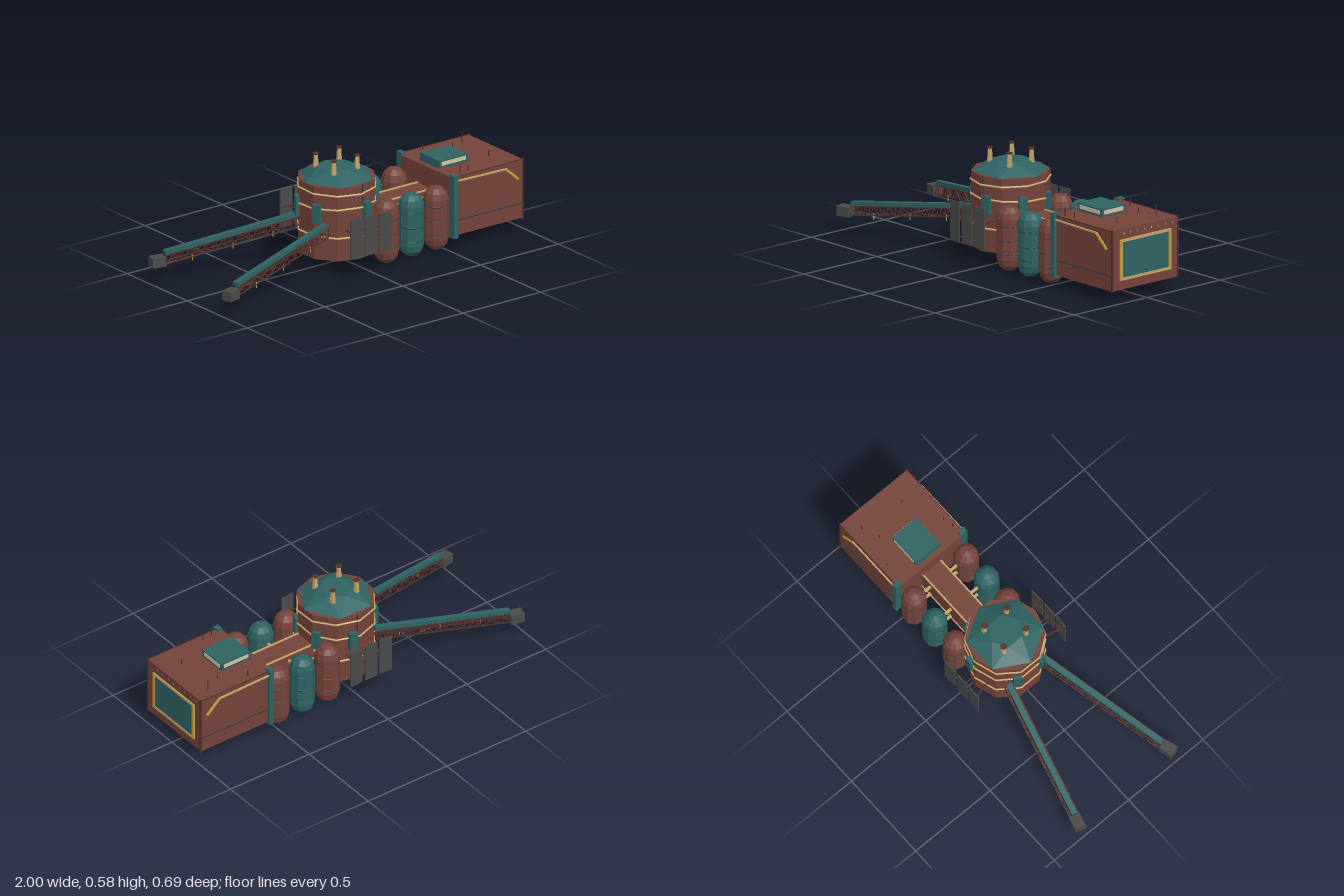
import * as THREE from 'three';

const paint = (name, color) => {
  const m = new THREE.MeshStandardMaterial({ color, flatShading: true });
  m.name = name;
  return m;
};

export function createModel() {
  const rust = paint('rust hull', 0x74433a);
  const teal = paint('teal paint', 0x2e6363);
  const darkTeal = paint('dark teal trim', 0x1d4040);
  const cream = paint('tan trim', 0xc6a466);
  const pale = paint('pale window', 0xd6c2a2);
  const yellow = paint('yellow marking', 0xc8a23e);
  const grey = paint('dark grey panel', 0x4a4a4a);
  const truss = paint('dark rust truss', 0x55302a);

  const model = new THREE.Group();
  model.name = 'station';
  const V = (x, y, z) => new THREE.Vector3(x, y, z);

  const add = (name, geo, mat, x = 0, y = 0, z = 0, parent = model) => {
    const m = new THREE.Mesh(geo, mat);
    m.name = name;
    m.position.set(x, y, z);
    parent.add(m);
    return m;
  };
  // Box given by its min and max on each axis
  const box = (name, mat, x0, x1, y0, y1, z0, z1, parent = model) =>
    add(name, new THREE.BoxGeometry(x1 - x0, y1 - y0, z1 - z0), mat,
      (x0 + x1) / 2, (y0 + y1) / 2, (z0 + z1) / 2, parent);
  // Square bar from a to b
  const bar = (name, mat, a, b, w, h = w, parent = model) => {
    const m = add(name, new THREE.BoxGeometry(w, h, a.distanceTo(b)), mat, 0, 0, 0, parent);
    m.position.copy(a).lerp(b, 0.5);
    m.lookAt(b);
    return m;
  };
  const hoop = (name, mat, r, t, x, y, z, sides) => {
    const m = add(name, new THREE.TorusGeometry(r, t, 4, sides), mat, x, y, z);
    m.rotation.x = Math.PI / 2;
    return m;
  };

  // Main drum
  const cx = -0.04;
  add('drum', new THREE.CylinderGeometry(0.203, 0.203, 0.395, 10), rust, cx, 0.2725, 0);
  [[0.43, 0.03], [0.345, -0.03], [0.2, 0.02]].forEach(([y, tilt]) => {
    const h = hoop('drumBand', cream, 0.205, 0.006, cx, y, 0, 10);
    h.rotation.x += tilt;
    h.rotation.z = Math.PI / 10;
  });

  // Folded hexagonal dome
  const ring = (r, y, turn) => Array.from({ length: 6 }, (_, i) => {
    const a = (i + turn) * Math.PI / 3;
    return V(r * Math.cos(a), y, r * Math.sin(a));
  });
  const low = ring(0.2, 0, 0), high = ring(0.09, 0.054, 0.5), pts = [];
  for (let i = 0; i < 6; i++) {
    const j = (i + 1) % 6;
    pts.push(low[i], high[i], low[j], low[j], high[i], high[j], V(0, 0.054, 0), high[j], high[i]);
  }
  const domeGeo = new THREE.BufferGeometry().setFromPoints(pts);
  domeGeo.computeVertexNormals();
  add('dome', domeGeo, teal, cx, 0.47, 0);

  // Roof stacks
  for (const x of [-0.075, 0.075]) for (const z of [-0.075, 0.075]) {
    add('stack', new THREE.CylinderGeometry(0.011, 0.016, 0.072, 5), cream, cx + x, 0.545, z);
    add('stackCap', new THREE.CylinderGeometry(0.019, 0.012, 0.007, 6), truss, cx + x, 0.581, z);
  }

  // Pods around the drum
  for (const deg of [24, 79, 157, -24, -79, -157]) {
    const a = deg * Math.PI / 180;
    const pod = add('drumPod', new THREE.BoxGeometry(0.03, 0.1, 0.045), teal,
      cx + 0.203 * Math.cos(a), 0.325, 0.203 * Math.sin(a));
    pod.rotation.y = -a;
  }

  // Connecting spine
  box('spine', rust, 0.12, 0.55, 0.13, 0.28, -0.065, 0.065);
  for (const s of [-1, 1]) {
    bar('spineRail', cream, V(0.13, 0.283, s * 0.06), V(0.54, 0.283, s * 0.06), 0.008);
    bar('spineLowRail', cream, V(0.13, 0.135, s * 0.066), V(0.54, 0.135, s * 0.066), 0.008);
  }

  // Tanks with hoops
  for (const s of [-1, 1]) {
    [0.145, 0.305, 0.465].forEach((x, i) => {
      const z = s * 0.175;
      add('tank', new THREE.CapsuleGeometry(0.066, 0.213, 3, 10), i === 1 ? teal : rust, x, 0.177, z);
      for (const y of [0.1, 0.172, 0.25]) hoop('tankHoop', darkTeal, 0.065, 0.003, x, y, z, 10);
      for (const y of [0.15, 0.25])
        bar('tankMount', cream, V(x, y, s * 0.05), V(x, y, s * 0.13), 0.014);
    });
  }

  // Cargo container
  box('container', rust, 0.53, 0.984, 0.072, 0.389, -0.225, 0.225);
  for (const s of [-1, 1]) {
    const z = s * 0.22;
    box('containerFlange', teal, 0.53, 0.56, 0.06, 0.4, z - 0.02, z + 0.02);
    box('cornerPost', truss, 0.978, 0.988, 0.066, 0.394, s * 0.223 - 0.004, s * 0.223 + 0.004);
    box('sideSeam', darkTeal, 0.56, 0.985, 0.15, 0.154, s * 0.2255 - 0.002, s * 0.2255 + 0.002);
    bar('roofEdge', truss, V(0.55, 0.389, s * 0.225), V(0.985, 0.389, s * 0.225), 0.004);
    // Side handrail
    const rail = [V(0.55, 0.368, s * 0.232), V(0.87, 0.362, s * 0.232), V(0.95, 0.29, s * 0.232)];
    bar('handrail', cream, rail[0], rail[1], 0.008);
    bar('handrail', yellow, rail[1], rail[2], 0.008, 0.012);
  }

  // End door and frame
  box('door', teal, 0.983, 0.988, 0.133, 0.325, -0.16, 0.16);
  box('doorSill', cream, 0.983, 0.991, 0.121, 0.135, -0.175, 0.175);
  box('doorLintel', cream, 0.983, 0.991, 0.323, 0.337, -0.175, 0.175);
  for (const s of [-1, 1])
    box('doorJamb', yellow, 0.983, 0.993, 0.13, 0.33, s * 0.167 - 0.008, s * 0.167 + 0.008);
  for (let i = 0; i < 8; i++)
    box('doorRivet', pale, 0.983, 0.986, 0.36, 0.372, -0.186 + i * 0.047, -0.184 + i * 0.047);
  box('beacon', truss, 0.984, 1, 0.15, 0.156, -0.003, 0.003);
  box('beacon', truss, 0.984, 1, 0.235, 0.241, -0.222, -0.216);

  // Roof unit with windows
  box('roofUnit', teal, 0.56, 0.745, 0.389, 0.431, -0.08, 0.08);
  box('roofEndWindow', pale, 0.744, 0.748, 0.402, 0.423, -0.066, 0.066);
  for (const s of [-1, 1])
    box('roofSideWindow', pale, 0.575, 0.73, 0.402, 0.423, s * 0.08 - 0.002, s * 0.08 + 0.002);
  // Roof aerials
  for (const [x, z, h] of [[0.89, -0.16, 0.055], [0.66, -0.19, 0.03], [0.8, -0.12, 0.025],
    [0.87, 0.09, 0.03], [0.66, 0.19, 0.03], [0.6, 0.2, 0.045]])
    box('aerial', truss, x - 0.002, x + 0.002, 0.385, 0.39 + h, z - 0.002, z + 0.002);
  for (const s of [-1, 1])
    box('drumAerial', darkTeal, -0.03, -0.025, 0.37, 0.475, s * 0.2 - 0.002, s * 0.2 + 0.002);

  // Solar panels either side of the drum
  for (const s of [-1, 1]) {
    [-0.137, -0.045, 0.048].forEach((x, i) => {
      const p = add('solarPanel', new THREE.BoxGeometry(0.076, 0.212, 0.006), grey, x, 0.23, s * 0.293);
      p.rotation.y = (i - 1) * 0.06;
      bar('panelStrut', truss, V(cx + (x - cx) * 0.7, 0.24, s * 0.15), V(x, 0.24, s * 0.29), 0.006);
    });
    bar('panelCrossbar', truss, V(-0.165, 0.24, s * 0.286), V(0.08, 0.24, s * 0.286), 0.006);
  }

  // Lattice arms
  for (const s of [-1, 1]) {
    const arm = new THREE.Group();
    arm.name = 'arm';
    model.add(arm);
    const root = V(-0.2, 0.264, s * 0.113), tip = V(-0.92, 0.163, s * 0.295);
    bar('armBeam', teal, root, tip, 0.03, 0.022, arm);
    const side = V(tip.z - root.z, 0, root.x - tip.x).normalize();
    const at = (t, w, d) => root.clone().lerp(tip, t).addScaledVector(side, w).add(V(0, d, 0));
    const n = 16, top = -0.012, bottom = -0.058;
    for (const w of [-0.022, 0.022]) {
      bar('upperChord', truss, at(0, w, top), at(1, w, top), 0.005, 0.005, arm);
      bar('lowerChord', truss, at(0, w, bottom), at(1, w, bottom), 0.005, 0.005, arm);
      for (let i = 0; i < n; i++) {
        const a = i / n, b = (i + 1) / n, up = i % 2;
        bar('diagonal', truss, at(a, w, up ? top : bottom), at(b, w, up ? bottom : top), 0.0035, 0.0035, arm);
        bar('upright', truss, at(a, w, top), at(a, w, bottom), 0.0035, 0.0035, arm);
      }
    }
    for (let i = 0; i < n; i++) {
      const f = i % 2 ? 1 : -1;
      bar('crossTie', truss, at(i / n, -0.022 * f, bottom), at((i + 1) / n, 0.022 * f, bottom), 0.0035, 0.0035, arm);
    }
    for (const t of [0.2, 0.5, 0.8])
      bar('armHanger', cream, at(t, 0.022, bottom + 0.01), at(t, 0.022, bottom - 0.02), 0.004, 0.004, arm);
    // End block, aligned with the arm
    const end = add('armEndBlock', new THREE.BoxGeometry(0.075, 0.052, 0.058), grey, -0.955, 0.119, s * 0.306, arm);
    end.rotation.y = s * Math.atan2(tip.z * s - root.z * s, root.x - tip.x);
  }

  return model;
}
